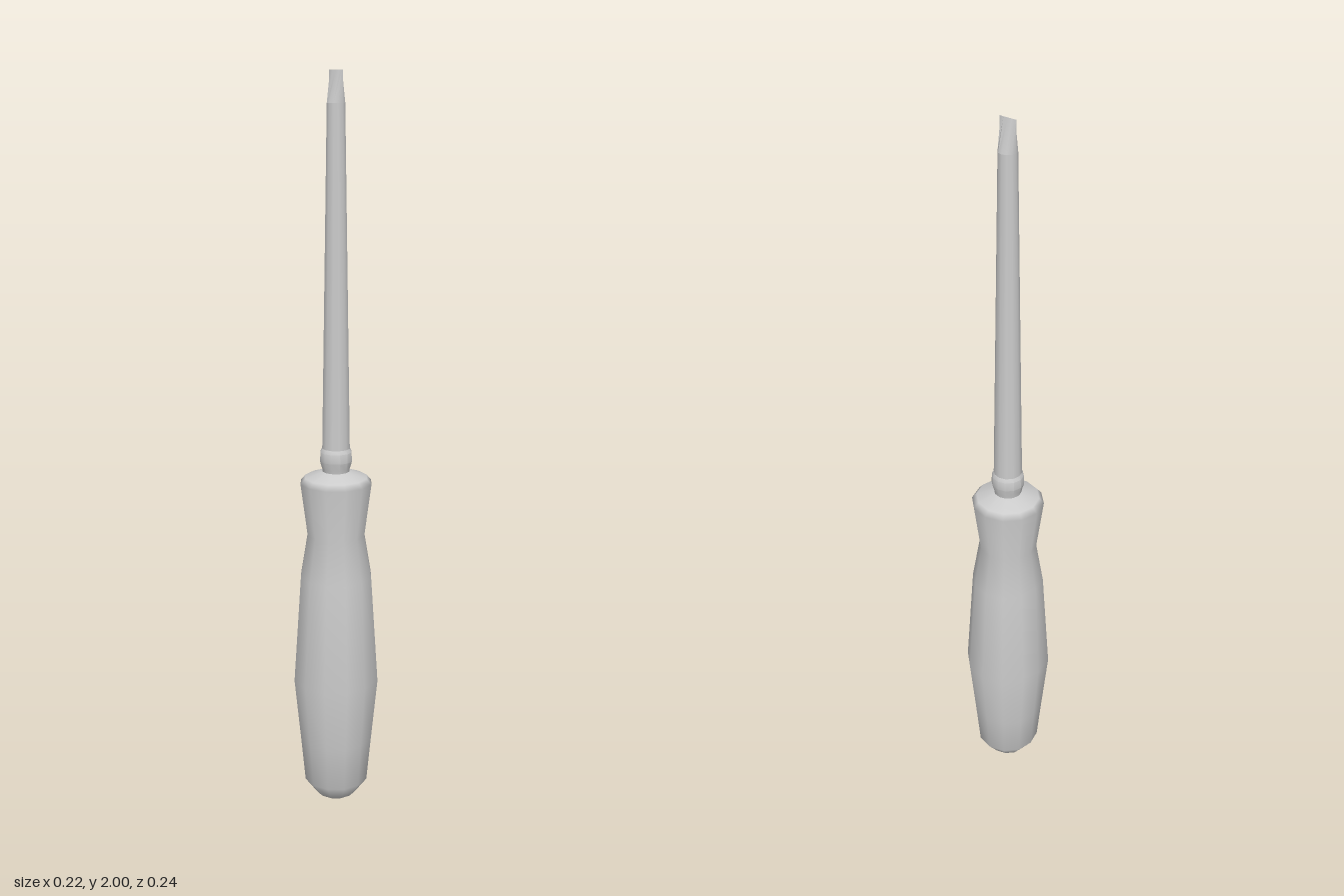
import * as THREE from 'three';
import { toCreasedNormals } from 'three/addons/utils/BufferGeometryUtils.js';

const SIDES = 12;
const material = new THREE.MeshStandardMaterial({ color: 0xcccccc });

// Turned part from [radius, height] pairs, bottom to top
function turned(profile) {
  return new THREE.LatheGeometry(profile.map(([r, y]) => new THREE.Vector2(r, y)), SIDES);
}

function addPart(group, name, geometry) {
  const mesh = new THREE.Mesh(geometry, material);
  mesh.name = name;
  group.add(mesh);
}

export function createModel() {
  const group = new THREE.Group();
  group.name = 'screwdriver';

  // Grip with rounded butt, swelling belly, finger neck and flared shoulder
  const handle = turned([
    [0, 0], [0.028, 0.004], [0.055, 0.02], [0.089, 0.065], [0.101, 0.19],
    [0.119, 0.37], [0.099, 0.67], [0.079, 0.79], [0.098, 0.935],
    [0.085, 0.95], [0.036, 0.967],
  ]);
  // The belly is slightly narrower from side to side
  const pos = handle.attributes.position;
  for (let i = 0; i < pos.count; i++) {
    const swell = Math.max(0, 1 - Math.abs(pos.getY(i) - 0.37) / 0.4);
    const across = Math.abs(pos.getX(i)) / (Math.hypot(pos.getX(i), pos.getZ(i)) || 1);
    if (across > 0.95) pos.setX(i, pos.getX(i) * (1 - 0.06 * swell));
  }
  addPart(group, 'handle', handle);

  // Small ring where the blade enters the grip
  addPart(group, 'collar', toCreasedNormals(turned([
    [0.036, 0.955], [0.038, 0.975], [0.044, 0.995], [0.043, 1.02], [0.038, 1.03],
  ]), 0.6));

  // Long tapering shaft
  addPart(group, 'shaft', turned([[0.038, 1.03], [0.024, 1.92]]));

  // Wedge tip: the upper ring is flattened to a straight edge along x
  const tip = new THREE.CylinderGeometry(0.024, 0.024, 0.08, SIDES, 1, true);
  tip.translate(0, 1.96, 0);
  const tipPos = tip.attributes.position;
  for (let i = 0; i < tipPos.count; i++) {
    if (tipPos.getY(i) > 1.96) tipPos.setZ(i, tipPos.getZ(i) * 0.03);
  }
  addPart(group, 'tip', toCreasedNormals(tip, 0.6));

  return group;
}
